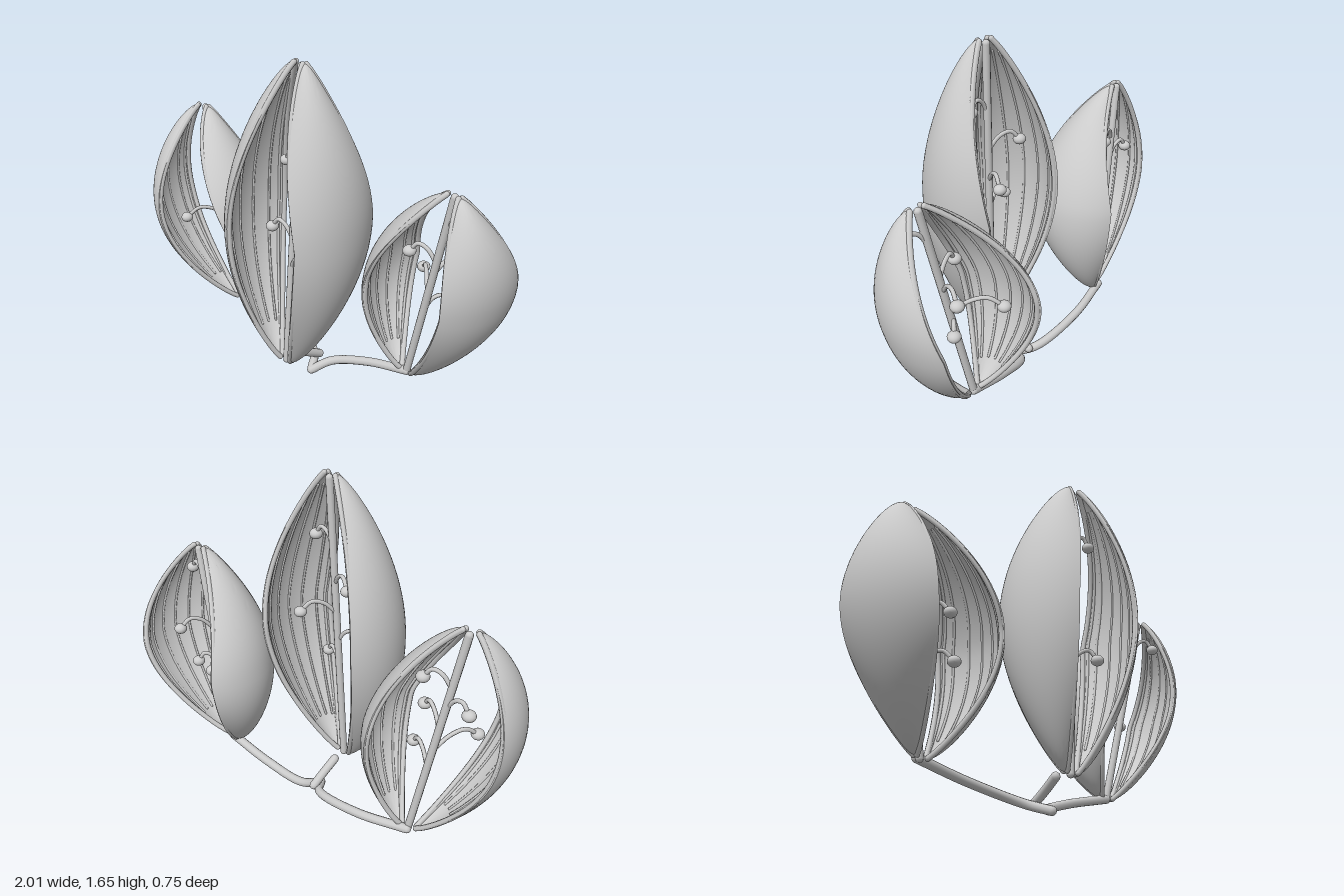
import * as THREE from 'three';
import { toCreasedNormals } from 'three/addons/utils/BufferGeometryUtils.js';

const material = new THREE.MeshStandardMaterial({ color: 0xcccccc });
const V = (a) => new THREE.Vector3(...a);

// Each valve: back edge x, z, front edge x, z (from the axis, at mid height), bulge, twist towards the front near the tip
const PODS = [
  {
    name: 'rightPod', base: [-0.55, 0.16, -0.25], tip: [-0.745, 1.25, -0.24],
    valves: [[0.25, -0.125, 0.21, 0.31, 0.095, 0.8], [-0.28, -0.115, -0.16, 0.315, 0.1, 0.1]],
    seeds: [[-0.57, 1.0, -0.25], [-0.79, 0.9, -0.29], [-0.545, 0.785, -0.13], [-0.78, 0.665, -0.08], [-0.505, 0.57, -0.13]],
  },
  {
    name: 'middlePod', base: [-0.03, 0.15, 0.13], tip: [0.045, 1.65, 0.105],
    valves: [[0.3, -0.165, 0.145, 0.255, 0.09, 0.8], [-0.18, -0.265, -0.205, 0.205, 0.125, 0.2]],
    seeds: [[0.13, 1.34, 0.14], [-0.095, 1.155, 0.01], [0.14, 1.0, 0], [-0.12, 0.85, 0.1], [0.095, 0.7, 0.2]],
  },
  {
    name: 'leftPod', base: [0.535, 0.18, -0.05], tip: [0.742, 1.185, 0.06],
    valves: [[0.315, -0.175, 0.12, 0.215, 0.092, 0.5], [-0.175, -0.33, -0.255, 0.1, 0.09, 0.5]],
    seeds: [[0.815, 1.04, 0.1], [0.54, 0.86, 0.02], [0.765, 0.8, -0.11], [0.525, 0.675, -0.2], [0.71, 0.6, -0.06]],
  },
];

function add(parent, name, geometry) {
  const mesh = new THREE.Mesh(geometry, material);
  mesh.name = name;
  parent.add(mesh);
  return mesh;
}

// Tube through points, closed by small balls at both ends
function rod(parent, name, points, radius, segments = 24, sides = 8) {
  const group = new THREE.Group();
  group.name = name;
  const curve = new THREE.CatmullRomCurve3(points);
  add(group, name + 'Tube', new THREE.TubeGeometry(curve, segments, radius, sides));
  for (const end of [points[0], points[points.length - 1]]) {
    add(group, name + 'End', new THREE.SphereGeometry(radius, sides, 6)).position.copy(end);
  }
  parent.add(group);
}

// Returns a function giving a point of the valve at height t, across u, and depth below its outside
function valveSurface(base, tip, [x1, z1, x2, z2, bulge, twist]) {
  const halfWidth = Math.hypot(x2 - x1, z2 - z1) / 2;
  let nx = (z2 - z1) / (2 * halfWidth), nz = (x1 - x2) / (2 * halfWidth);
  const side = Math.sign(nx * (x1 + x2) + nz * (z1 + z2));
  nx *= side;
  nz *= side;
  // Middle of the chord, along and across the outward direction
  const out = (nx * (x1 + x2) + nz * (z1 + z2)) / 2;
  const shift = (nx * (z1 + z2) - nz * (x1 + x2)) / 2;
  return (t, u, depth) => {
    const s = 0.04 + 0.96 * Math.pow(Math.max(0, Math.sin(Math.PI * t)), 0.7);
    // The edges draw in faster than the outside towards both ends
    const chord = out * Math.pow(s, 1.3), half = halfWidth * Math.pow(s, 1.2);
    const sag = s * (out + bulge) - chord;
    const R = (half * half + sag * sag) / (2 * sag);
    const angle = 2 * Math.atan(sag / half) * u;
    const r = R - depth * (0.3 + 0.7 * s);
    const along = chord + sag - R + r * Math.cos(angle) + 0.022;
    const across = shift * Math.pow(s, 1.3) + r * Math.sin(angle);
    // Turn towards the front above the middle
    const turn = side0(nx) * twist * Math.max(0, t - 0.5);
    const dx = nx * Math.cos(turn) - nz * Math.sin(turn);
    const dz = nz * Math.cos(turn) + nx * Math.sin(turn);
    const p = base.clone().lerp(tip, t);
    p.x += dx * along - dz * across;
    p.z += dz * along + dx * across;
    return p;
  };
}

const side0 = (x) => (x < 0 ? -1 : 1);

// Closed shell: outer arc, then inner arc back, lofted from base to tip
function shellGeometry(surface) {
  const rows = 48, across = 20, loop = 2 * (across + 1);
  const positions = [], index = [];
  for (let i = 0; i <= rows; i++) {
    const t = (1 - Math.cos(Math.PI * i / rows)) / 2;
    for (let j = 0; j < loop; j++) {
      const inner = j > across;
      const k = inner ? loop - 1 - j : j;
      positions.push(...surface(t, -1 + 2 * k / across, inner ? 0.016 : 0).toArray());
      if (i === rows) continue;
      const a = i * loop + j, b = i * loop + (j + 1) % loop;
      index.push(a, a + loop, b, b, a + loop, b + loop);
    }
  }
  const geometry = new THREE.BufferGeometry();
  geometry.setAttribute('position', new THREE.Float32BufferAttribute(positions, 3));
  geometry.setIndex(index);
  return toCreasedNormals(geometry, 0.8);
}

function createValve(base, tip, spec) {
  const valve = new THREE.Group();
  valve.name = 'valve';
  const surface = valveSurface(base, tip, spec);
  add(valve, 'shell', shellGeometry(surface));
  const line = (u, from, to, depth) => Array.from({ length: 25 }, (_, i) => {
    const t = (1 - Math.cos(Math.PI * i / 24)) / 2;
    return surface(from + (to - from) * t, u, depth);
  });
  // Ribs along the inner wall
  for (const u of [-0.66, -0.33, 0, 0.33, 0.66]) rod(valve, 'innerRib', line(u, 0.1, 0.94, 0.017), 0.006, 40, 6);
  // Thickened rims with a ridge beside them
  for (const u of [-1, 1]) {
    rod(valve, 'rim', line(u * 0.96, 0.005, 0.995, 0.015), 0.013, 48, 7);
    rod(valve, 'rimRidge', line(u * 0.85, 0.03, 0.97, 0.017), 0.007, 40, 6);
  }
  return valve;
}

function createPod({ name, base, tip, valves, seeds }) {
  const pod = new THREE.Group();
  pod.name = name;
  const b = V(base), t = V(tip);
  rod(pod, 'axis', [b, b.clone().lerp(t, 0.985)], 0.018, 4, 10);
  for (const spec of valves) pod.add(createValve(b, t, spec));
  // Seeds hanging from arched stalks
  for (const s of seeds) {
    const seed = V(s);
    const root = b.clone().lerp(t, (seed.y - 0.03 - b.y) / (t.y - b.y));
    const rise = root.clone().lerp(seed, 0.35).setY(seed.y + 0.03);
    const crest = root.clone().lerp(seed, 0.7).setY(seed.y + 0.045);
    rod(pod, 'seedStalk', [root, rise, crest, seed], 0.01, 16, 7);
    const ball = add(pod, 'seed', new THREE.SphereGeometry(0.031, 16, 12));
    ball.position.copy(seed);
    ball.scale.y = 0.82;
  }
  return pod;
}

export function createModel() {
  const model = new THREE.Group();
  model.name = 'seedPodCluster';
  for (const pod of PODS) model.add(createPod(pod));
  // Branching stems
  const stems = {
    rightStem: [[0.03, 0.024, -0.01], [-0.02, 0.06, -0.12], [-0.28, 0.12, -0.23], [-0.55, 0.165, -0.265]],
    leftStem: [[0.03, 0.024, -0.01], [0.1, 0.055, -0.09], [0.3, 0.12, -0.095], [0.535, 0.18, -0.05]],
    middleStem: [[0.025, 0.07, -0.1], [0.005, 0.11, -0.03], [-0.02, 0.155, 0.045]],
  };
  for (const [name, points] of Object.entries(stems)) rod(model, name, points.map(V), 0.022, 32, 10);
  return model;
}
